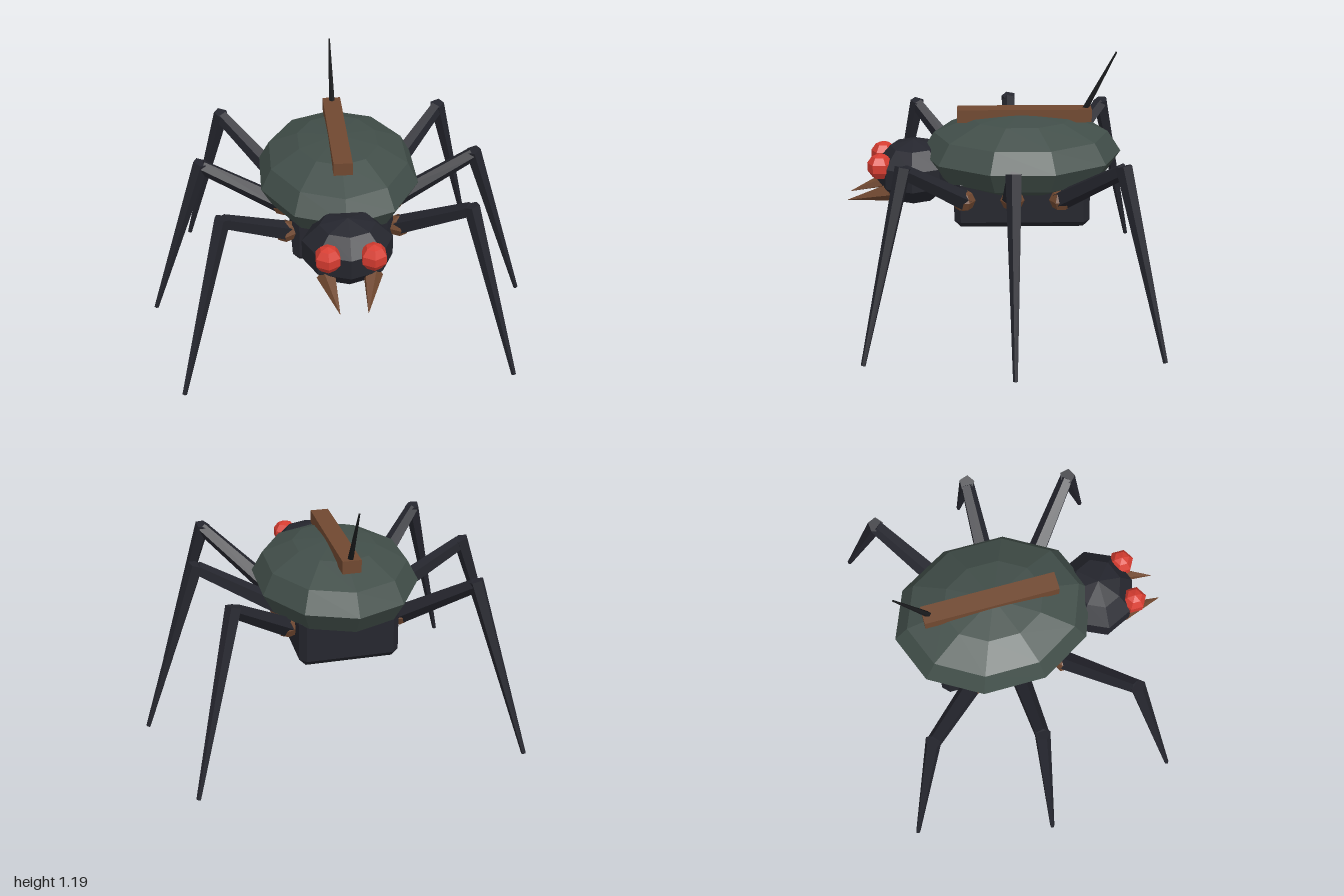
import * as THREE from 'three';
import { ConvexGeometry } from 'three/addons/geometries/ConvexGeometry.js';

const paint = (name, color) => {
  const m = new THREE.MeshStandardMaterial({ color });
  m.name = name;
  return m;
};

// Faceted copy of a geometry
function facet(geometry) {
  const g = geometry.index ? geometry.toNonIndexed() : geometry;
  g.computeVertexNormals();
  return g;
}

// Low-poly ellipsoid with a vertex column facing +z
function ellipsoid(rx, ry, rz, sides, rows) {
  return facet(new THREE.SphereGeometry(1, sides, rows).rotateY(Math.PI / 2).scale(rx, ry, rz));
}

// Tapered limb running from point a to point b
function limb(a, b, ra, rb, sides) {
  const from = new THREE.Vector3(...a), to = new THREE.Vector3(...b);
  const dir = to.clone().sub(from);
  const g = new THREE.CylinderGeometry(rb, ra, dir.length(), sides);
  g.applyQuaternion(new THREE.Quaternion().setFromUnitVectors(
    new THREE.Vector3(0, 1, 0), dir.normalize()));
  g.translate(...from.add(to).multiplyScalar(0.5).toArray());
  return facet(g);
}

// Box with every edge chamfered by c
function chamferBox(hx, hy, hz, c) {
  const points = [];
  for (const x of [-1, 1]) for (const y of [-1, 1]) for (const z of [-1, 1]) {
    points.push(
      new THREE.Vector3(x * hx, y * (hy - c), z * (hz - c)),
      new THREE.Vector3(x * (hx - c), y * hy, z * (hz - c)),
      new THREE.Vector3(x * (hx - c), y * (hy - c), z * hz));
  }
  return new ConvexGeometry(points);
}

export function createModel() {
  const dark = paint('dark shell', 0x25262e);
  const green = paint('grey green', 0x414e49);
  const brown = paint('rust brown', 0x704830);
  const red = paint('eye red', 0xd63c30);
  const black = paint('antenna black', 0x191a1c);

  const model = new THREE.Group();
  model.name = 'spider';
  const body = new THREE.Group();
  body.name = 'spiderBody';
  body.rotation.y = THREE.MathUtils.degToRad(35);
  model.add(body);

  const add = (name, geometry, material, x = 0, y = 0, z = 0, parent = body) => {
    const mesh = new THREE.Mesh(geometry, material);
    mesh.name = name;
    mesh.position.set(x, y, z);
    parent.add(mesh);
    return mesh;
  };

  // Shell, undercarriage and head
  add('shell', ellipsoid(0.38, 0.19, 0.467, 10, 6), green, 0, 0.72, -0.045);
  add('chassis', chamferBox(0.23, 0.12, 0.31, 0.03), dark, 0, 0.54, -0.045);
  add('head', ellipsoid(0.21, 0.152, 0.185, 8, 5), dark, 0, 0.63, 0.455);

  // Ridge plate and antenna on the back
  add('backStrip', new THREE.BoxGeometry(0.085, 0.06, 0.62), brown, 0, 0.9, -0.06);
  add('antenna', limb([0, 0.85, -0.305], [0, 1.19, -0.48], 0.017, 0.004, 5), black);

  for (const s of [1, -1]) {
    const side = s > 0 ? 'left' : 'right';
    add(side + 'Eye', ellipsoid(0.062, 0.062, 0.062, 6, 5), red, s * 0.098, 0.68, 0.605);
    add(side + 'Fang', limb([s * 0.1, 0.56, 0.56], [s * 0.06, 0.505, 0.765], 0.045, 0.001, 5), brown);

    // Three legs per side: hip joint, upper leg, lower leg
    for (const [row, hipZ, kneeX, kneeZ, footX, footZ] of [
      ['Front', 0.22, 0.535, 0.465, 0.748, 0.645],
      ['Middle', 0, 0.63, 0, 0.9, 0],
      ['Back', -0.22, 0.535, -0.465, 0.748, -0.645],
    ]) {
      const leg = new THREE.Group();
      leg.name = side + row + 'Leg';
      body.add(leg);
      const hip = [s * 0.26, 0.57, hipZ];
      const knee = [s * kneeX, 0.8, kneeZ];
      add('hipJoint', ellipsoid(0.055, 0.05, 0.055, 6, 4), brown, ...hip, leg);
      add('upperLeg', limb(hip, knee, 0.047, 0.034, 5), dark, 0, 0, 0, leg);
      add('lowerLeg', limb([s * kneeX, 0.82, kneeZ], [s * footX, 0.004, footZ], 0.037, 0.011, 5),
        dark, 0, 0, 0, leg);
    }
  }
  return model;
}
